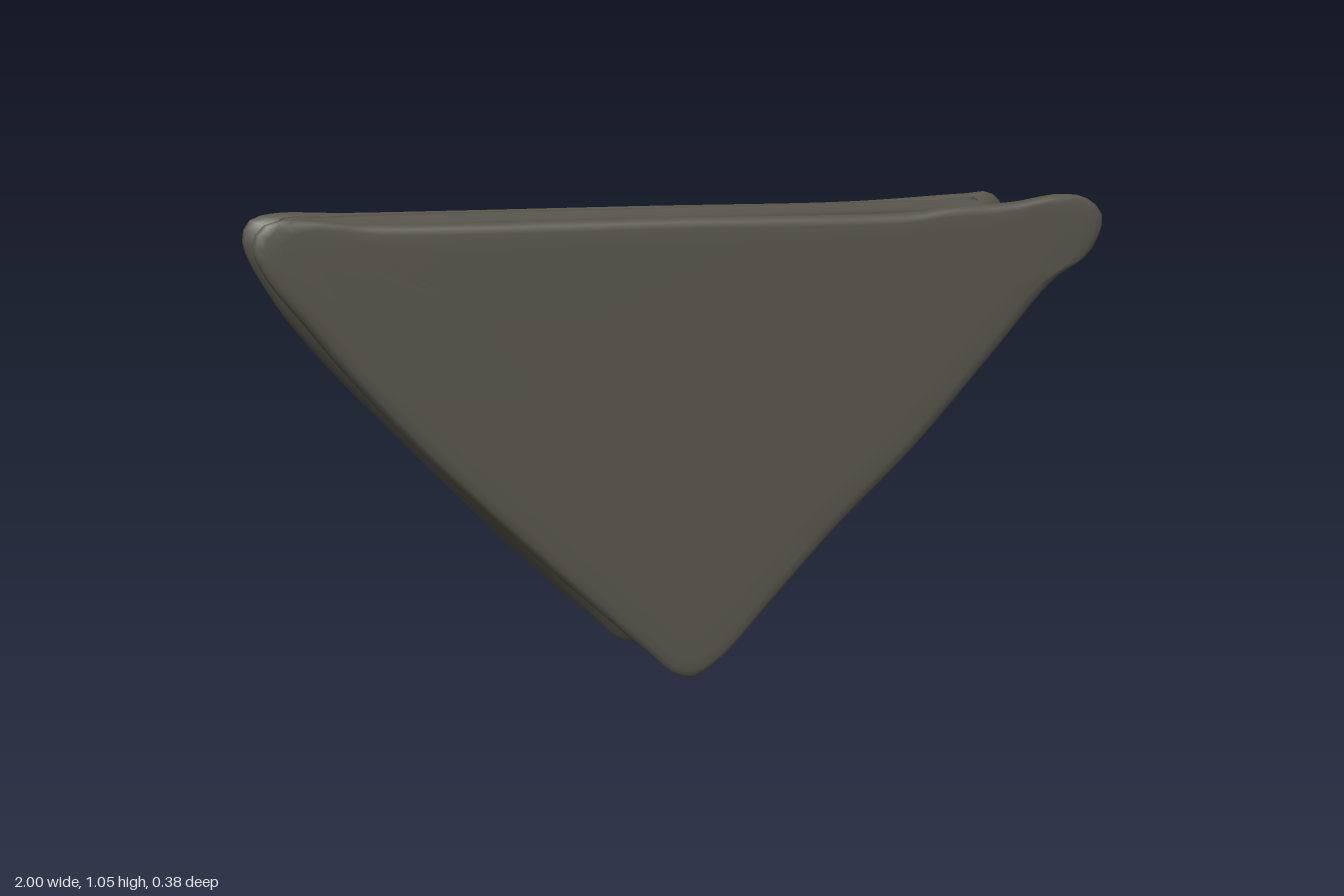
import * as THREE from 'three';
import { mergeVertices } from 'three/addons/utils/BufferGeometryUtils.js';

const CENTRE_Y = 0.65;
const lerp = THREE.MathUtils.lerp;

// Smooth closed outline through [x, y] points given clockwise, returned anticlockwise.
function outline(points, count) {
  const curve = new THREE.CatmullRomCurve3(
    points.map(([x, y]) => new THREE.Vector3(x, y, 0)), true, 'centripetal');
  return curve.getSpacedPoints(count).slice(0, count).reverse();
}

// Stack scaled copies of an outline; place(x, y, t, j) gives the final position.
function loft(loop, rings, place, flip = false) {
  const n = loop.length, position = [], index = [];
  rings.forEach(([s, t]) => loop.forEach((p, j) => {
    position.push(...place(p.x * s, CENTRE_Y + (p.y - CENTRE_Y) * s, t, j));
  }));
  for (let i = 0; i < rings.length - 1; i++) {
    for (let j = 0; j < n; j++) {
      const a = i * n + j, b = i * n + (j + 1) % n, c = b + n, d = a + n;
      if (flip) index.push(a, c, b, a, d, c);
      else index.push(a, b, c, a, c, d);
    }
  }
  let geometry = new THREE.BufferGeometry();
  geometry.setAttribute('position', new THREE.Float32BufferAttribute(position, 3));
  geometry.setIndex(index);
  geometry = mergeVertices(geometry, 1e-5);
  geometry.computeVertexNormals();
  return geometry;
}

export function createModel() {
  const group = new THREE.Group();
  const bread = new THREE.MeshStandardMaterial({ color: 0x56544a });
  bread.name = 'dark olive bread';

  const add = (name, geometry) => {
    const mesh = new THREE.Mesh(geometry, bread);
    mesh.name = name;
    group.add(mesh);
  };

  // Rounded slice section: [scale, depth from inner face 0 to outer face 1]
  const sliceRings = [[0, 0], [0.4, 0], [0.75, 0], [0.88, 0.03], [0.93, 0.12], [0.96, 0.3], [0.985, 0.5],
    [0.998, 0.66], [1, 0.76], [0.993, 0.88], [0.975, 0.96], [0.94, 0.995], [0.85, 1], [0.5, 1], [0, 1]];

  // Front slice, thinning towards its tip
  const frontLoop = outline([
    [-1, 1], [-0.98, 1.04], [-0.92, 1.055], [-0.85, 1.05], [-0.77, 1.04], [0, 1.03], [0.52, 1.024],
    [0.62, 1.034], [0.78, 1.04], [0.9, 1.055], [0.96, 1.043], [1, 1], [0.97, 0.92], [0.945, 0.9], [0.88, 0.86],
    [0.73, 0.7], [0.53, 0.49], [0.33, 0.31], [0.17, 0.15], [0.06, 0.04], [0.01, 0.008], [-0.02, 0],
    [-0.06, 0.013], [-0.12, 0.065], [-0.3, 0.225], [-0.62, 0.525], [-0.8, 0.72], [-0.89, 0.83], [-0.97, 0.93]], 180);
  add('frontSlice', loft(frontLoop, sliceRings, (x, y, t) => {
    const u = THREE.MathUtils.clamp(y / 0.4, 0, 1);
    const corner = THREE.MathUtils.smoothstep(Math.abs(x), 0.82, 1);
    const inner = lerp(0.15, 0.09, u) + 0.045 * corner;
    return [x, y, lerp(inner, 0.191, t)];
  }));

  // Back slice, flaring backwards towards its tip
  const backLoop = outline([
    [-0.945, 0.98], [-0.93, 1.025], [-0.88, 1.04], [-0.7, 1.036], [0, 1.03], [0.5, 1.025], [0.8, 1.035],
    [0.87, 1.035], [0.905, 0.99], [0.88, 0.89], [0.8, 0.79], [0.6, 0.57], [0.33, 0.3], [0.16, 0.14],
    [0.06, 0.04], [0.01, 0.01], [-0.02, 0.004], [-0.06, 0.016], [-0.12, 0.07], [-0.3, 0.23],
    [-0.6, 0.53], [-0.78, 0.72], [-0.88, 0.85]], 180);
  add('backSlice', loft(backLoop, sliceRings, (x, y, t) => {
    const inner = lerp(0.168, 0.085, THREE.MathUtils.clamp(y / 0.35, 0, 1));
    const outer = 0.156 + 0.04 * Math.pow(1 - Math.min(y, 1), 1.6);
    return [x, y, -lerp(inner, outer, t)];
  }, true));

  // Recessed filling with rippled layers and a ragged lower edge
  const fillLoop = outline([
    [-0.88, 0.99], [-0.87, 1.024], [-0.75, 1.03], [0, 1.026], [0.7, 1.022], [0.81, 1.02], [0.83, 0.98],
    [0.79, 0.86], [0.62, 0.66], [0.4, 0.45], [0.2, 0.31], [0.08, 0.29], [-0.06, 0.285], [-0.18, 0.3],
    [-0.4, 0.46], [-0.64, 0.67], [-0.82, 0.88]], 160);
  const layers = [0.96, 1.01, 1, 0.965, 0.99, 1.005, 0.97, 0.985, 1, 0.965, 1.005, 1.01, 0.96];
  const fillRings = layers.map((s, i) => [s, lerp(-0.115, 0.115, i / (layers.length - 1))]);
  add('filling', loft(fillLoop, [[0, -0.115], ...fillRings, [0, 0.115]], (x, y, t, j) => {
    const below = 1 - THREE.MathUtils.smoothstep(y, 0.85, 1);
    const ripple = 0.012 * below * (Math.sin(j * 0.7 + t * 55) + 0.6 * Math.sin(j * 1.3 - t * 90));
    const r = Math.abs(x) + Math.abs(y - CENTRE_Y);
    const k = r > 0.1 ? 1 + ripple / r : 1;
    // keep the top crust nearly level, with a faint dip in the middle
    const top = y > 0.95 ? Math.max(y, 1.02 - 0.004 * Math.cos(t * 14)) : y;
    const level = Math.abs(x) < 0.78 ? top : y;
    return [x * k, CENTRE_Y + (level - CENTRE_Y) * k, t];
  }));

  return group;
}
